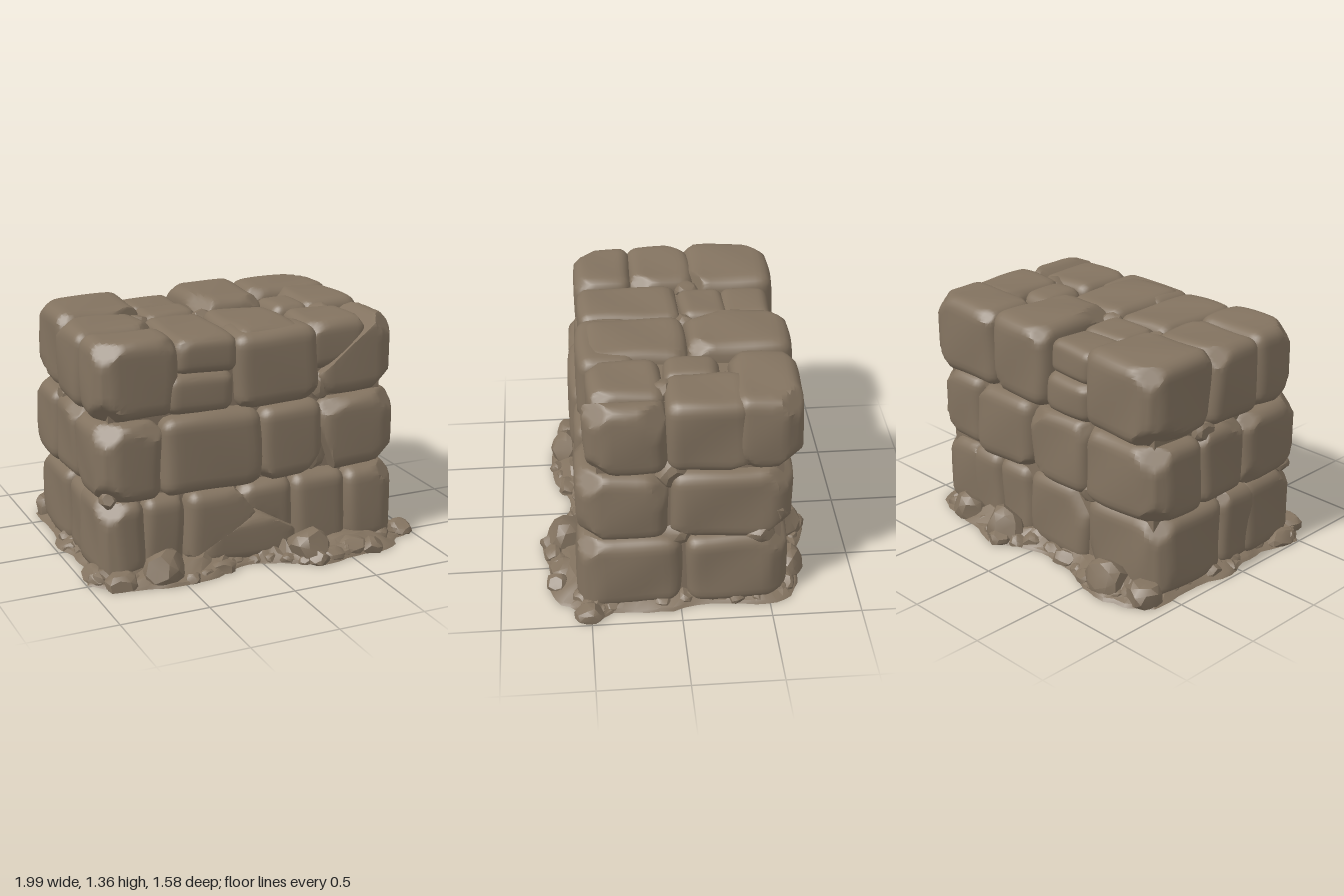
import * as THREE from 'three';
import { mergeVertices, toCreasedNormals } from 'three/addons/utils/BufferGeometryUtils.js';

const stoneMat = new THREE.MeshStandardMaterial({ color: 0x837360 });
stoneMat.name = 'brown stone';

let seed = 21;
const rand = () => (seed = (seed * 16807) % 2147483647) / 2147483647;
const between = (a, b) => a + (b - a) * rand();
const sign = () => (rand() < 0.5 ? -1 : 1);
const vec = (x, y, z) => new THREE.Vector3(x, y, z);

// Push every vertex that lies beyond a plane back onto it.
function cutByPlane(p, point, normal) {
  const d = (p.x - point.x) * normal.x + (p.y - point.y) * normal.y + (p.z - point.z) * normal.z;
  if (d > 0) p.addScaledVector(normal, -d);
}

// Worn block: rounded box with bulging faces, chipped corners and gentle unevenness.
// cuts: [px, py, nx, ny] splits the block along a plane seen from the front.
function blockGeometry([x0, x1, y0, y1, z0, z1], cuts = []) {
  const half = vec(x1 - x0, y1 - y0, z1 - z0).multiplyScalar(0.5);
  const centre = vec(x0 + x1, y0 + y1, z0 + z1).multiplyScalar(0.5);
  const smallest = Math.min(half.x, half.y, half.z);
  const r = Math.min(0.065, 0.5 * smallest);
  const inner = half.clone().subScalar(r);
  const g = mergeVertices(new THREE.BoxGeometry(2, 2, 2, 12, 12, 12).deleteAttribute('normal').deleteAttribute('uv'));

  const chips = [];
  const chip = (corner, normal, depth) => {
    const n = normal.multiply(corner).normalize();
    chips.push([corner.clone().multiply(half).addScaledVector(n, -depth), n]);
  };
  // Random corner and edge chips
  for (let i = 0; i < 8; i++) {
    const normal = vec(between(0.25, 1), between(0.25, 1), between(0.25, 1));
    chip(vec(sign(), sign(), sign()), normal, between(0.22, 0.48) * Math.min(smallest, 0.2));
  }
  // Heavier wear on the outer corners of the wall
  for (const sx of [-1, 1]) for (const sz of [-1, 1]) {
    const atCorner = (sx > 0 ? x1 > 0.85 : x0 < -0.88) && (sz > 0 ? z1 > 0.5 : z0 < -0.58);
    if (!atCorner) continue;
    chip(vec(sx, 1, sz), vec(1, 0, 0.55), 0.05);
    chip(vec(sx, 1, sz), vec(0.55, 0, 1), 0.05);
    chip(vec(sx, 1, sz), vec(1, 1, 1), 0.11);
    if (y0 > 0) chip(vec(sx, -1, sz), vec(1, 1, 1), 0.11);
  }
  for (const [px, py, nx, ny] of cuts) {
    chips.push([vec(px, py, centre.z).sub(centre), vec(nx, ny, 0).normalize()]);
  }

  const phase = between(0, 6);
  const pos = g.attributes.position;
  const p = vec(), c = vec();
  const spread = (u) => Math.sign(u) * Math.abs(u) ** 0.7;
  for (let i = 0; i < pos.count; i++) {
    const u = spread(pos.getX(i)), v = spread(pos.getY(i)), w = spread(pos.getZ(i));
    p.set(u, v, w).multiply(half);
    c.copy(p).clamp(inner.clone().negate(), inner);
    p.sub(c).setLength(r).add(c);
    p.x *= 1 - 0.02 * (v * v + w * w);
    p.y *= 1 - 0.02 * (u * u + w * w);
    p.z *= 1 - 0.02 * (u * u + v * v);
    p.x += 0.006 * Math.sin(11 * p.y + 9 * p.z + phase);
    p.y += 0.005 * Math.sin(10 * p.x + 12 * p.z + phase * 2);
    p.z += 0.006 * Math.sin(11 * p.x + 10 * p.y + phase * 3);
    for (const [point, n] of chips) cutByPlane(p, point, n);
    p.add(centre);
    pos.setXYZ(i, p.x, Math.max(p.y, 0), p.z);
  }
  return toCreasedNormals(g, 0.6);
}

// Small angular stone, flattened where it would sink below the ground.
function rubbleGeometry(x, y, z, sx, sy, sz) {
  const g = mergeVertices(new THREE.IcosahedronGeometry(1, 1).deleteAttribute('normal').deleteAttribute('uv'));
  const pos = g.attributes.position;
  const turn = new THREE.Euler(between(0, 6), between(0, 6), between(0, 6));
  const p = vec();
  for (let i = 0; i < pos.count; i++) {
    p.fromBufferAttribute(pos, i).clampScalar(-0.75, 0.75).applyEuler(turn).multiplyScalar(between(1.05, 1.2));
    pos.setXYZ(i, x + p.x * sx, Math.max(0, y + p.y * sy), z + p.z * sz);
  }
  return toCreasedNormals(g, 0.5);
}

// Ragged ground outline, x and z.
const outline = new THREE.CatmullRomCurve3([
  [-0.95, 0.3], [-1, 0.47], [-0.91, 0.6], [-0.75, 0.67], [-0.55, 0.7], [-0.32, 0.69], [-0.12, 0.59],
  [0.05, 0.63], [0.2, 0.71], [0.3, 0.77], [0.5, 0.73], [0.75, 0.72], [0.87, 0.61], [1, 0.52],
  [0.91, 0.35], [0.93, 0.1], [0.88, -0.15], [0.91, -0.45], [0.85, -0.62], [0.65, -0.7], [0.42, -0.73],
  [0.23, -0.78], [0.05, -0.69], [-0.15, -0.66], [-0.4, -0.71], [-0.6, -0.78], [-0.82, -0.73],
  [-0.95, -0.6], [-0.93, -0.35], [-0.99, -0.08], [-0.94, 0.1],
].map(([x, z]) => vec(x, 0, z)), true);

// Low mound: rings stepping up and inwards from the outline, closed underneath.
function moundGeometry() {
  const n = 110, verts = [], index = [];
  const rings = [[0, 0], [1, 0], [0.985, 0.015], [0.93, 0.04], [0.84, 0.085], [0, 0.09]];
  const ragged = Array.from({ length: n }, () => between(0.98, 1.005));
  rings.forEach(([s, y], k) => {
    for (let i = 0; i < n; i++) {
      const p = outline.getPoint(i / n).multiplyScalar(s * ragged[i]);
      verts.push(p.x, k > 1 && k < 5 ? y * between(0.6, 1.3) : y, p.z);
      if (k === 0) continue;
      const a = (k - 1) * n + i, b = (k - 1) * n + (i + 1) % n;
      index.push(a, b, b + n, a, b + n, a + n);
    }
  });
  const g = new THREE.BufferGeometry();
  g.setAttribute('position', new THREE.Float32BufferAttribute(verts, 3));
  g.setIndex(index);
  return toCreasedNormals(g, 0.5);
}

// Blocks: [x0, x1, y0, y1, z0, z1], optional cuts
const courses = {
  bottomCourse: [
    [[-0.92, -0.66, 0, 0.46, 0.1, 0.55]], [[-0.68, -0.43, 0, 0.46, 0.1, 0.54]],
    [[-0.43, 0.02, 0, 0.46, 0.1, 0.56], [[-0.18, 0.2, 0.5, -0.85], [-0.04, 0.32, 0.8, 0.6]]],
    [[-0.1, 0.23, 0.05, 0.46, 0.1, 0.545], [[-0.04, 0.32, -0.8, -0.6], [0.1, 0.24, -0.5, -0.85]]],
    [[-0.34, 0.25, 0, 0.28, 0.1, 0.56], [[-0.18, 0.2, -0.5, 0.85], [0.1, 0.23, 0.5, 0.85]]],
    [[0.22, 0.56, 0, 0.47, 0.1, 0.56]], [[0.55, 0.88, 0, 0.46, -0.01, 0.57]],
    [[0.5, 0.88, 0, 0.46, -0.6, -0.03]], [[0.35, 0.62, 0, 0.45, -0.6, -0.2]],
    [[0.1, 0.37, 0, 0.45, -0.6, -0.2]], [[-0.36, 0.12, 0, 0.46, -0.6, -0.2]],
    [[-0.92, -0.35, 0, 0.46, -0.6, -0.06]], [[-0.91, -0.6, 0, 0.46, -0.08, 0.22]],
  ],
  middleCourse: [
    [[-0.93, -0.56, 0.45, 0.89, 0.08, 0.56]], [[-0.57, 0.03, 0.45, 0.9, 0.1, 0.57]],
    [[0.02, 0.41, 0.45, 0.89, 0.1, 0.55], [[0.36, 0.56, 0.8, -0.6]]],
    [[0.39, 0.88, 0.46, 0.89, 0.06, 0.56], [[0.43, 0.62, -0.9, -0.3]]],
    [[0.5, 0.88, 0.45, 0.89, -0.61, 0.06]], [[0.04, 0.52, 0.45, 0.89, -0.65, -0.2]],
    [[-0.39, 0.06, 0.45, 0.89, -0.64, -0.2]], [[-0.93, -0.37, 0.45, 0.89, -0.64, -0.24]],
    [[-0.92, -0.5, 0.45, 0.89, -0.26, 0.1]],
  ],
  topCourse: [
    [[-0.92, -0.45, 0.89, 1.33, 0.17, 0.51]], [[-0.93, -0.45, 0.89, 1.33, -0.19, 0.19]],
    [[-0.9, -0.39, 0.89, 1.345, -0.65, -0.15]],
    [[-0.46, -0.09, 1.1, 1.31, -0.08, 0.5]], [[-0.52, -0.12, 0.89, 1.12, 0.05, 0.52]],
    [[-0.41, -0.08, 1.1, 1.31, -0.35, -0.08]], [[-0.41, -0.08, 1.1, 1.3, -0.6, -0.32]],
    [[-0.42, -0.07, 0.89, 1.12, -0.63, -0.2]],
    [[-0.12, 0.39, 0.88, 1.31, 0.2, 0.525]], [[-0.1, 0.33, 0.9, 1.32, -0.09, 0.49]],
    [[-0.09, 0.34, 0.89, 1.36, -0.66, -0.08]],
    [[0.38, 0.88, 0.89, 1.325, 0.07, 0.51], [[0.52, 1.12, -0.6, 0.75]]],
    [[0.33, 0.72, 1.03, 1.32, 0.07, 0.48], [[0.54, 1.13, 0.6, -0.75]]],
    [[0.32, 0.56, 0.95, 1.32, -0.24, 0.07]], [[0.5, 0.87, 0.89, 1.335, -0.38, 0.08]],
    [[0.33, 0.87, 0.89, 1.345, -0.655, -0.28]],
  ],
};

// Larger loose stones: x, y, z, sx, sy, sz
const looseStones = [
  [-0.59, 0.06, 0.59, 0.12, 0.12, 0.1], [0.28, 0.06, 0.62, 0.12, 0.11, 0.11], [-0.83, 0.02, 0.58, 0.1, 0.07, 0.08],
  [0.54, 0.02, 0.63, 0.1, 0.06, 0.09], [0.93, 0.02, 0.51, 0.07, 0.06, 0.08], [-0.6, 0.06, -0.66, 0.13, 0.12, 0.1],
  [0.25, 0.06, -0.66, 0.12, 0.12, 0.1], [0.6, 0.04, -0.64, 0.11, 0.1, 0.08], [-0.84, 0.04, -0.62, 0.1, 0.09, 0.1],
  [-0.92, 0.02, 0.42, 0.07, 0.06, 0.11],
];

// Stones wedged in the joints
const wedges = [
  [0.78, 0.87, 0.05, 0.07, 0.09, 0.09], [0.77, 0.46, 0.02, 0.07, 0.08, 0.1], [0.84, 0.48, -0.43, 0.06, 0.06, 0.08],
  [0.8, 0.6, -0.52, 0.07, 0.09, 0.07], [0.6, 1.27, 0.08, 0.07, 0.05, 0.07], [0.36, 0.56, 0.48, 0.07, 0.09, 0.05],
  [0.42, 0.95, 0.44, 0.06, 0.09, 0.05], [-0.07, 1.25, -0.1, 0.07, 0.06, 0.07], [-0.45, 1.25, -0.14, 0.07, 0.06, 0.07],
  [-0.86, 0.47, 0.46, 0.05, 0.05, 0.06], [-0.37, 0.48, -0.55, 0.08, 0.07, 0.06], [-0.84, 0.88, -0.2, 0.06, 0.06, 0.08],
];

export function createModel() {
  const model = new THREE.Group();
  model.name = 'stoneWall';
  const add = (name, geometry, parent = model) => {
    const mesh = new THREE.Mesh(geometry, stoneMat);
    mesh.name = name;
    parent.add(mesh);
  };
  const addGroup = (name) => {
    const group = new THREE.Group();
    group.name = name;
    model.add(group);
    return group;
  };

  // Core filling the joints between blocks
  add('core', new THREE.BoxGeometry(1.64, 1.23, 1).translate(-0.02, 0.635, -0.055));
  for (const [name, blocks] of Object.entries(courses)) {
    const course = addGroup(name);
    for (const [box, cuts] of blocks) add('block', blockGeometry(box, cuts), course);
  }
  const joints = addGroup('jointStones');
  for (const w of wedges) add('wedgeStone', rubbleGeometry(...w), joints);

  // Mound and rubble around the foot
  add('mound', moundGeometry());
  const rubble = addGroup('rubble');
  for (const s of looseStones) add('looseStone', rubbleGeometry(...s), rubble);
  for (let i = 0; i < 52; i++) {
    const p = outline.getPoint((i + between(0.7, 1.3)) / 52 % 1).multiplyScalar(between(0.88, 0.94));
    const s = between(0.035, 0.065);
    add('pebble', rubbleGeometry(p.x, s * 0.25, p.z, s * between(1, 1.5), s * 0.9, s), rubble);
  }
  return model;
}
